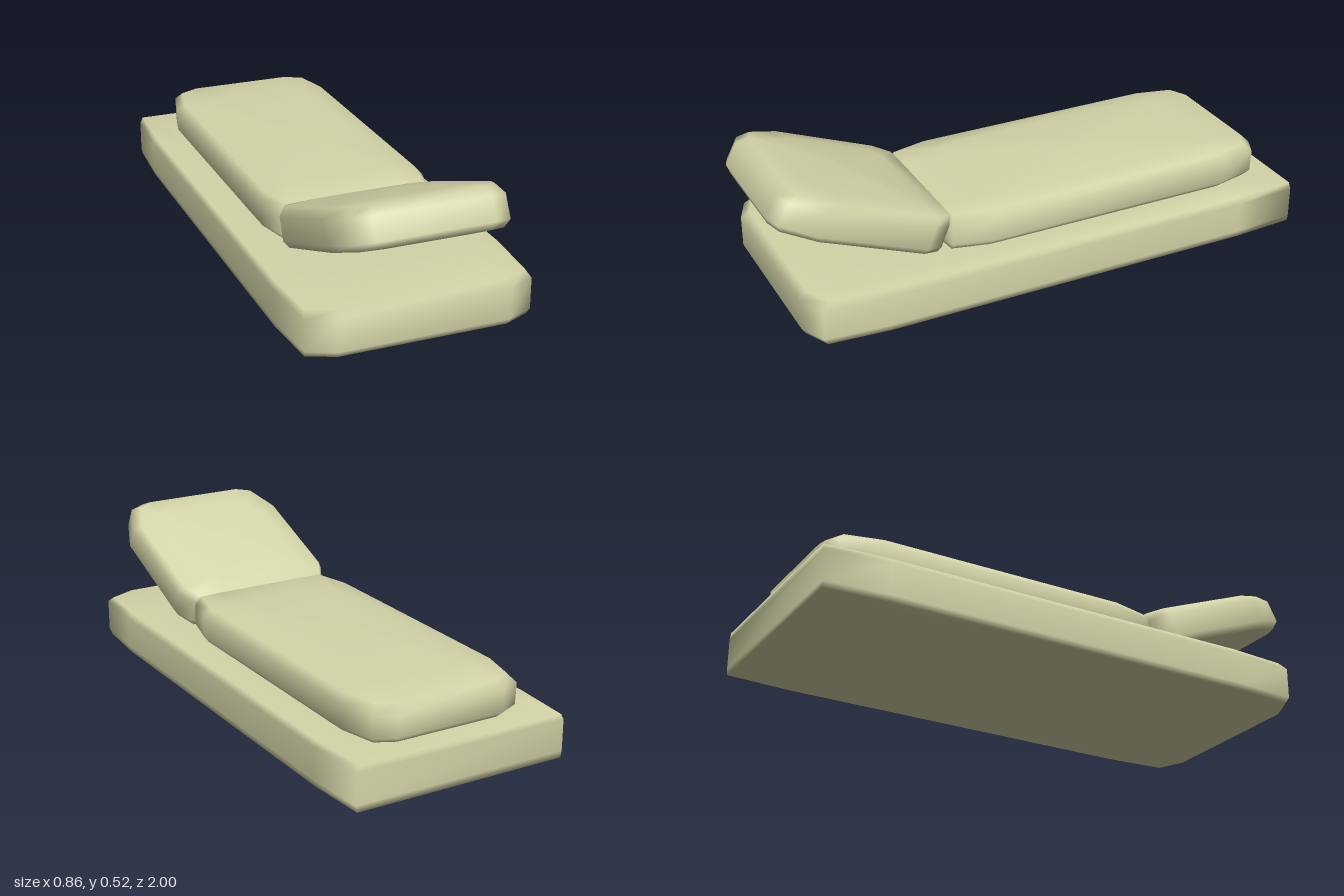
import * as THREE from 'three';

const material = new THREE.MeshStandardMaterial({ color: 0xd4d4a8 });

// Soft slab: a mirrored plan outline (right half, front to back) lofted through
// rings [y, sideInset, frontInset, backInset], closed by domed caps.
function softSlab(name, half, rings, topDome, bottomDome) {
  const outline = [...half, ...half.slice().reverse().map(([x, z]) => [-x, z])];
  const n = outline.length;
  const xMax = Math.max(...half.map(p => p[0]));
  const zMax = Math.max(...half.map(p => p[1]));
  const zMin = Math.min(...half.map(p => p[1]));
  const length = zMax - zMin;

  // concentric cap rings that rise (or sink) towards the middle
  const cap = ([y, side, front, back], dome) => [0.75, 0.45, 0.15].map(s => {
    const e = (1 - s) * length / 2;
    return [y + dome * (1 - s * s), side + (1 - s) * (xMax - side), front + e, back + e];
  });
  const all = [
    ...cap(rings[0], -bottomDome).reverse(),
    ...rings,
    ...cap(rings[rings.length - 1], topDome),
  ];

  const positions = [], index = [];
  for (const [y, side, front, back] of all) {
    for (const [x, z] of outline) {
      const t = (z - zMin) / length;
      positions.push(x * (1 - side / xMax), y, zMin + back + t * (length - front - back));
    }
  }
  for (let r = 0; r < all.length - 1; r++) {
    for (let i = 0; i < n; i++) {
      const a = r * n + i, b = r * n + (i + 1) % n;
      index.push(a, b, b + n, a, b + n, a + n);
    }
  }
  // centre points close both caps
  const zMid = (zMin + zMax) / 2;
  const low = positions.length / 3, high = low + 1, last = (all.length - 1) * n;
  positions.push(0, rings[0][0] - bottomDome, zMid);
  positions.push(0, rings[rings.length - 1][0] + topDome, zMid);
  for (let i = 0; i < n; i++) {
    const j = (i + 1) % n;
    index.push(low, j, i, high, last + i, last + j);
  }

  const geometry = new THREE.BufferGeometry();
  geometry.setAttribute('position', new THREE.Float32BufferAttribute(positions, 3));
  geometry.setIndex(index);
  geometry.computeVertexNormals();
  const mesh = new THREE.Mesh(geometry, material);
  mesh.name = name;
  return mesh;
}

export function createModel() {
  const group = new THREE.Group();
  group.name = 'recliningLounger';

  // Wide base slab, rounded at the front and square at the back
  group.add(softSlab('base',
    [[0.31, 0.935], [0.41, 0.89], [0.428, 0.66], [0.428, -0.76], [0.412, -1]],
    [[0.006, 0.005, 0.015, 0], [0.03, 0, 0, 0], [0.145, 0, 0, 0], [0.167, 0.012, 0.03, 0]],
    0.002, 0.006));

  // Long flat cushion
  const seat = softSlab('seatCushion',
    [[0.2, 0.36], [0.285, 0.35], [0.32, 0.21], [0.32, -0.76], [0.285, -0.9], [0.21, -0.935]],
    [[0, 0.02, 0, 0.03], [0.025, 0, 0, 0.005], [0.105, 0, 0, 0], [0.135, 0.025, 0.01, 0.03]],
    0.02, 0);
  seat.position.y = 0.165;
  group.add(seat);

  // Raised headrest, hinged on the front edge of the flat cushion
  const head = softSlab('headrest',
    [[0.21, 0.655], [0.27, 0.63], [0.32, 0.5], [0.32, 0.075], [0.285, 0.005], [0.2, 0]],
    [[0, 0.02, 0.02, 0], [0.025, 0, 0, 0], [0.11, 0, 0.01, 0], [0.143, 0.02, 0.045, 0]],
    0.022, 0.022);
  head.position.set(0, 0.168, 0.4);
  head.rotation.x = -0.375;
  group.add(head);

  return group;
}
